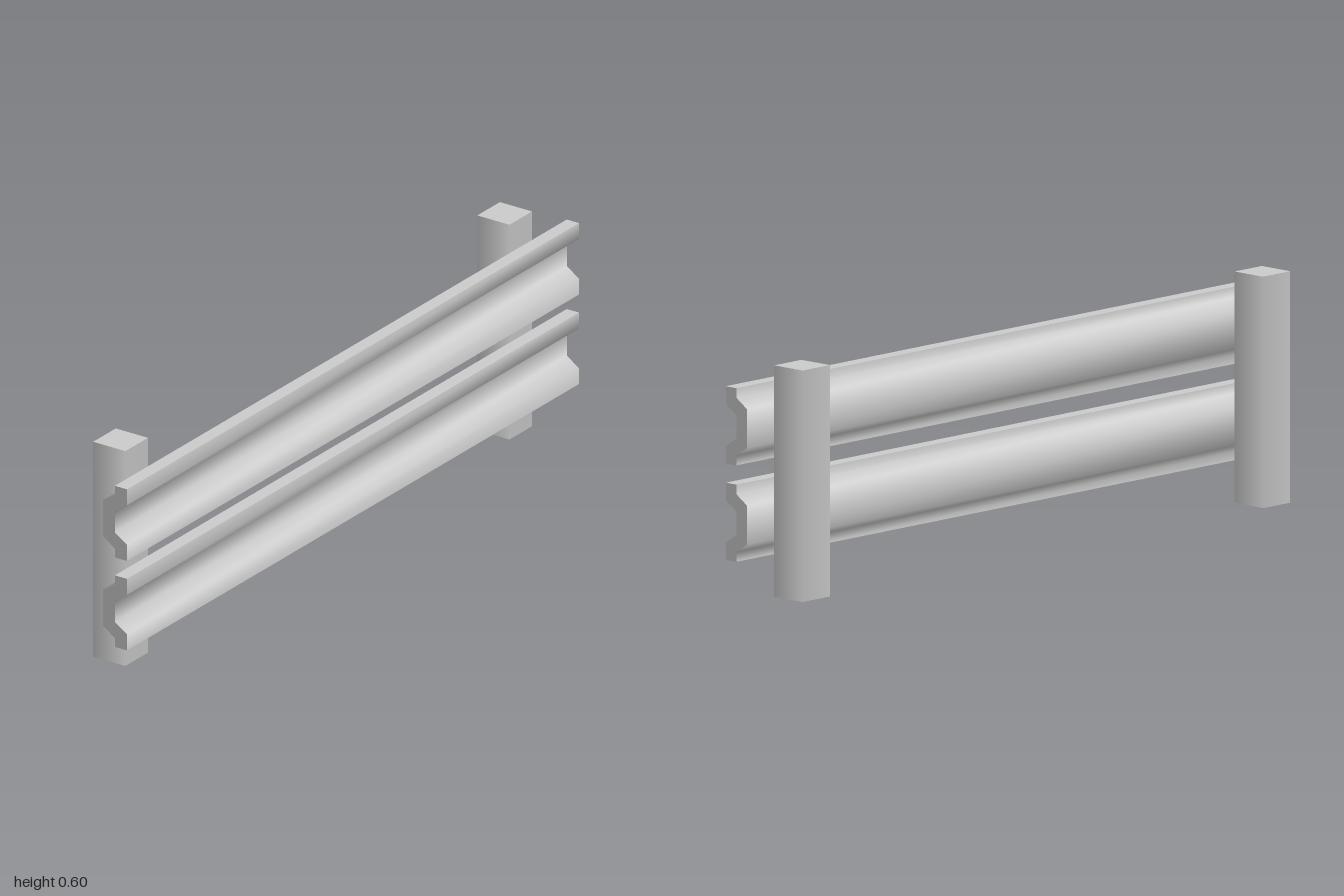
import * as THREE from 'three';
import { toCreasedNormals } from 'three/addons/utils/BufferGeometryUtils.js';

const LENGTH = 2;
const RAIL_HEIGHT = 0.2;
const POST_WIDTH = 0.1;
const POST_HEIGHT = 0.6;

// Corrugated rail section as [z, y], lower half; the upper half is its mirror.
const LOWER_HALF = [
  [0.0125, 0.05], [0.05, 0.025], [0.05, 0],
  [0.0875, 0], [0.0875, 0.045], [0.05, 0.07],
];

function railGeometry() {
  const upperHalf = LOWER_HALF.map(([z, y]) => [z, RAIL_HEIGHT - y]).reverse();
  // Drawn with x = -z so that a quarter turn lays the extrusion along x.
  const points = [...LOWER_HALF, ...upperHalf].map(([z, y]) => new THREE.Vector2(-z, y));
  const geometry = new THREE.ExtrudeGeometry(new THREE.Shape(points), {
    depth: LENGTH, bevelEnabled: false,
  });
  geometry.translate(0, 0, -LENGTH / 2).rotateY(Math.PI / 2);
  return toCreasedNormals(geometry, THREE.MathUtils.degToRad(62));
}

// Square post with softly shaded sides and flat ends.
function postGeometry() {
  const radius = POST_WIDTH / Math.SQRT2;
  return new THREE.CylinderGeometry(radius, radius, POST_HEIGHT, 4).rotateY(Math.PI / 4);
}

export function createModel() {
  const model = new THREE.Group();
  model.name = 'guardrail';
  const material = new THREE.MeshStandardMaterial({ color: 0xcccccc });

  const add = (name, geometry, x, y, z) => {
    const mesh = new THREE.Mesh(geometry, material);
    mesh.name = name;
    mesh.position.set(x, y, z);
    model.add(mesh);
  };

  // Two horizontal rails
  const rail = railGeometry();
  add('lowerRail', rail, 0, 0.1, 0);
  add('upperRail', rail, 0, 0.35, 0);

  // Posts behind the rails
  const post = postGeometry();
  add('leftPost', post, 0.85, POST_HEIGHT / 2, -0.0375);
  add('rightPost', post, -0.85, POST_HEIGHT / 2, -0.0375);

  return model;
}
